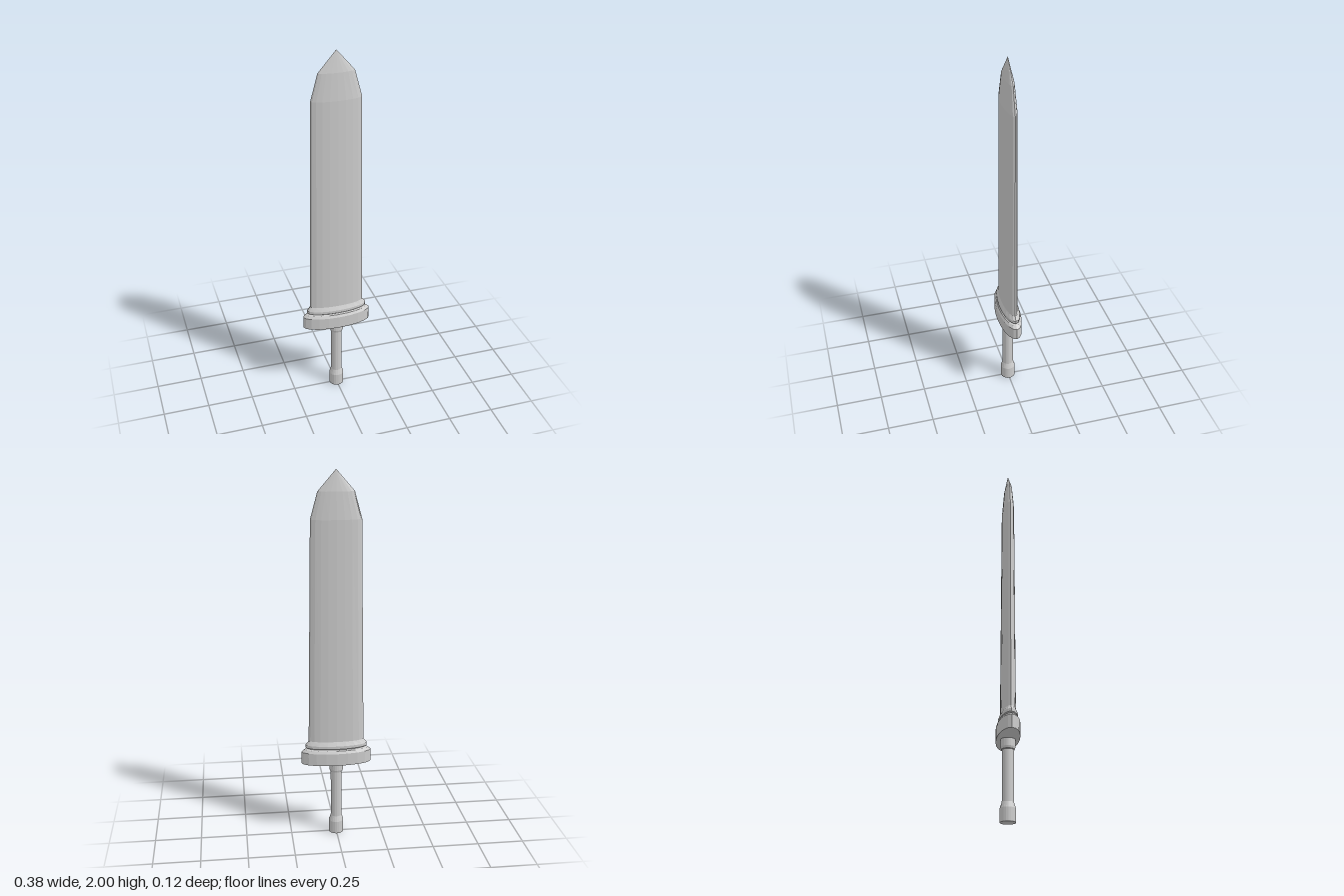
import * as THREE from 'three';

const SIDES = 20;

// Closed loft of elliptical rings; each row is [y, half width in x, half depth in z]
function loft(name, rows) {
  const points = rows.map(([y]) => new THREE.Vector2(1, y));
  const geometry = new THREE.LatheGeometry(points, SIDES);
  const pos = geometry.attributes.position;
  for (let i = 0; i < pos.count; i++) {
    const [, rx, rz] = rows[i % rows.length];
    pos.setX(i, pos.getX(i) * rx);
    pos.setZ(i, pos.getZ(i) * rz);
  }
  geometry.computeVertexNormals();
  const material = new THREE.MeshStandardMaterial({ color: 0xcccccc, flatShading: true });
  const mesh = new THREE.Mesh(geometry, material);
  mesh.name = name;
  return mesh;
}

// Round section given as [y, radius]
const round = (rows) => rows.map(([y, r]) => [y, r, r]);

export function createModel() {
  const sword = new THREE.Group();
  sword.name = 'sword';

  // Grip with a flared pommel at its foot
  sword.add(loft('pommel', round([[0, 0], [0, 0.04], [0.07, 0.04], [0.1, 0.03]])));
  sword.add(loft('grip', round([[0.1, 0.03], [0.37, 0.03]])));
  sword.add(loft('gripCollar', round([[0.365, 0.029], [0.368, 0.034], [0.38, 0.038], [0.42, 0.038]])));

  // Oval guard with a bevelled top
  sword.add(loft('guard', [
    [0.42, 0, 0], [0.42, 0.19, 0.06], [0.488, 0.19, 0.06],
    [0.502, 0.172, 0.052], [0.506, 0.155, 0.042],
  ]));

  // Stepped collar around the blade root
  sword.add(loft('bladeCollar', [
    [0.506, 0.155, 0.042], [0.512, 0.168, 0.049],
    [0.528, 0.168, 0.049], [0.55, 0.15, 0.038],
  ]));

  // Broad tapering blade and its faceted point
  sword.add(loft('blade', [[0.55, 0.15, 0.038], [1.75, 0.133, 0.032]]));
  sword.add(loft('bladeTip', [[1.75, 0.133, 0.032], [1.89, 0.095, 0.021], [2, 0, 0]]));

  return sword;
}
